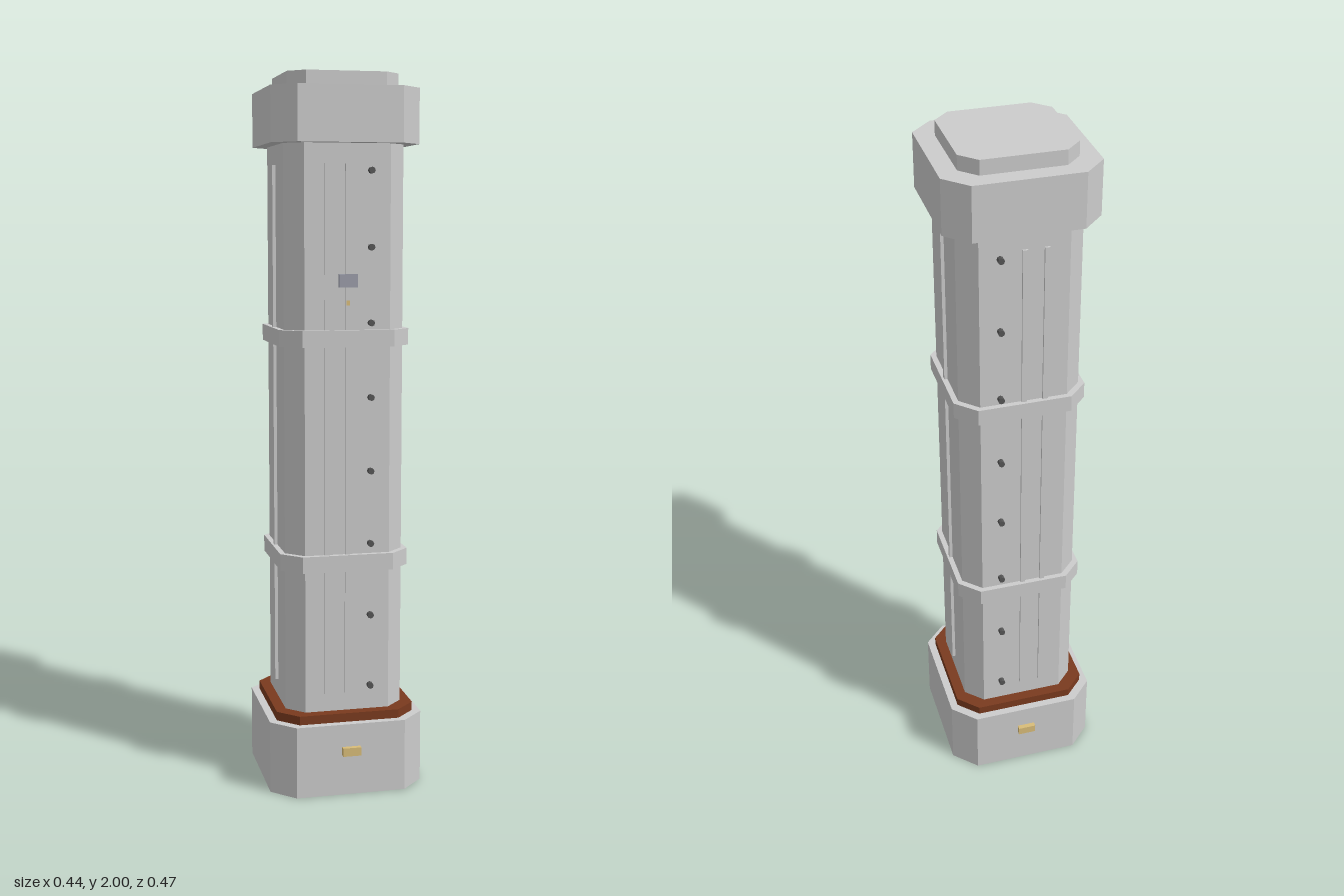
import * as THREE from 'three';

const paint = (color) => new THREE.MeshStandardMaterial({ color, flatShading: true });

export function createModel() {
  const group = new THREE.Group();
  const grey = paint(0xcccccc);
  const rust = paint(0x7a3a1e);
  const brass = paint(0xd8bc78);
  const dark = paint(0x555555);
  const steel = paint(0x9a9ca8);

  const add = (name, geometry, material, x = 0, y = 0, z = 0) => {
    const mesh = new THREE.Mesh(geometry, material);
    mesh.name = name;
    mesh.position.set(x, y, z);
    group.add(mesh);
    return mesh;
  };

  // Square block with cut corners: h = half width, c = half length of the flat side
  const block = (name, h, c, y0, y1, material = grey) => {
    const outline = [[h, c], [c, h], [-c, h], [-h, c], [-h, -c], [-c, -h], [c, -h], [h, -c]];
    const shape = new THREE.Shape(outline.map(([x, y]) => new THREE.Vector2(x, y)));
    const geometry = new THREE.ExtrudeGeometry(shape, { depth: y1 - y0, bevelEnabled: false });
    geometry.rotateX(-Math.PI / 2);
    add(name, geometry, material, 0, y0, 0);
  };

  // Stacked column
  block('base', 0.22, 0.156, 0, 0.205);
  block('collar', 0.198, 0.143, 0.205, 0.23, rust);
  block('shaft', 0.168, 0.12, 0.23, 1.81);
  block('lowerBand', 0.183, 0.129, 0.635, 0.682);
  block('upperBand', 0.183, 0.129, 1.262, 1.308);
  block('cap', 0.206, 0.145, 1.81, 1.96);
  block('capTop', 0.155, 0.111, 1.96, 2);

  // Front and back: paired ribs, a row of rivets and a plate on the base
  const ribHeight = 1.475, ribY = 1.018;
  for (const s of [1, -1]) {
    for (const x of [-0.058, 0]) {
      add('rib', new THREE.BoxGeometry(0.014, ribHeight, 0.014), grey, x, ribY, s * 0.167);
    }
    for (let i = 0; i < 8; i++) {
      const rivet = new THREE.CylinderGeometry(0.009, 0.009, 0.02, 8);
      rivet.rotateX(Math.PI / 2);
      add('rivet', rivet, dark, 0.065, 0.3 + i * 0.2054, s * 0.173);
    }
    add('basePlate', new THREE.BoxGeometry(0.052, 0.024, 0.02), brass, 0, 0.128, s * 0.224);

    // One central rib on each side face
    add('sideRib', new THREE.BoxGeometry(0.02, ribHeight, 0.014), grey, s * 0.167, ribY, 0);
  }

  // Latch and its small stud on the front
  add('latch', new THREE.BoxGeometry(0.052, 0.036, 0.016), steel, 0, 1.442, 0.173);
  add('latchStud', new THREE.BoxGeometry(0.01, 0.014, 0.012), brass, 0, 1.382, 0.172);

  return group;
}
